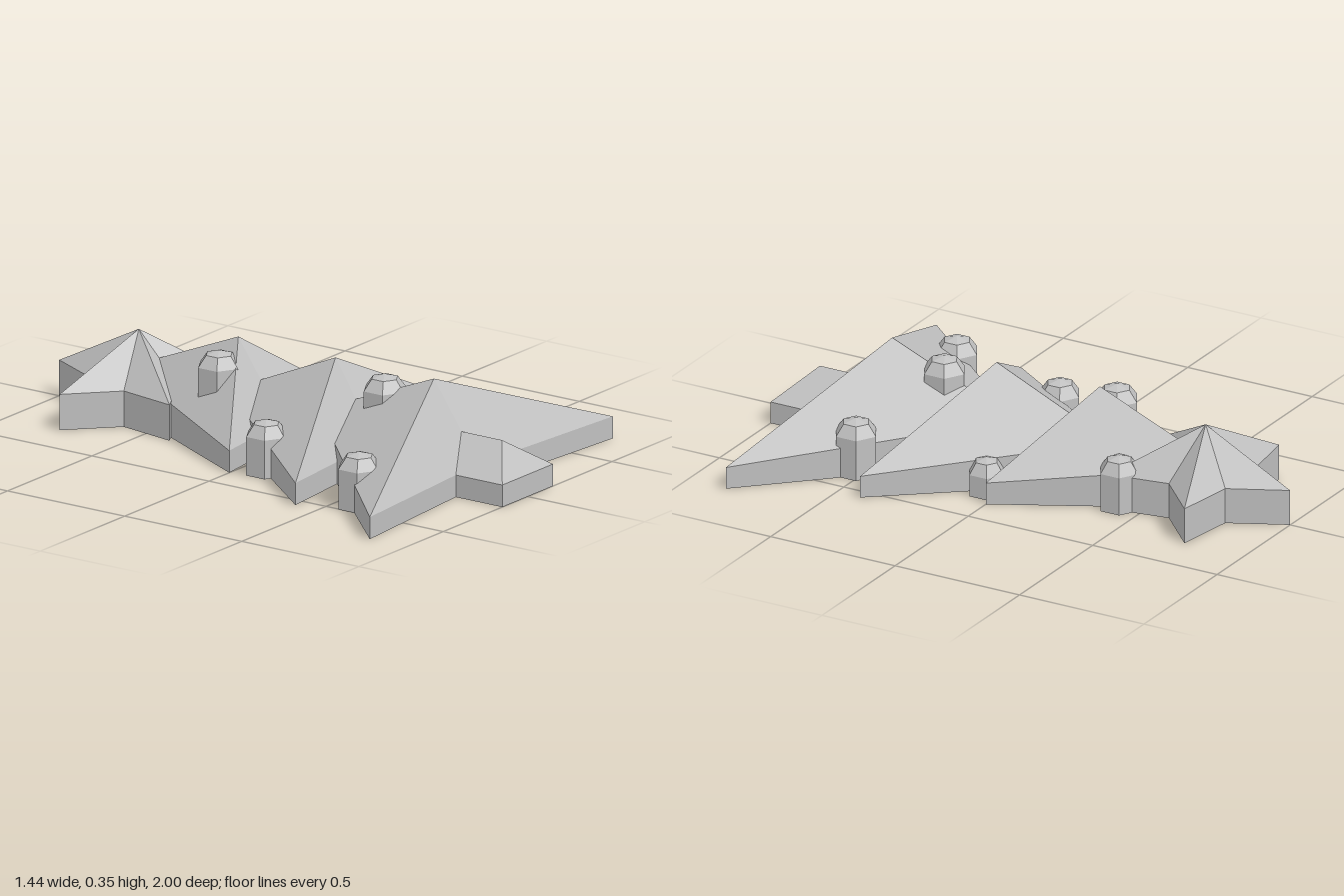
import * as THREE from 'three';

const grey = new THREE.MeshStandardMaterial({ color: 0xc0c0c0, flatShading: true });
grey.name = 'plain grey';

// Solid with a rim (counter-clockwise from above), a peaked roof, walls to the ground and a floor.
function peakedSolid(name, rim, peak) {
  const pos = [];
  const tri = (...pts) => pts.forEach((p) => pos.push(...p));
  const ground = (p) => [p[0], 0, p[2]];
  rim.forEach((a, i) => {
    const b = rim[(i + 1) % rim.length];
    tri(peak, a, b);
    tri(ground(a), ground(b), b);
    tri(ground(a), b, a);
    tri(ground(peak), ground(b), ground(a));
  });
  const geo = new THREE.BufferGeometry();
  geo.setAttribute('position', new THREE.Float32BufferAttribute(pos, 3));
  geo.computeVertexNormals();
  const mesh = new THREE.Mesh(geo, grey);
  mesh.name = name;
  return mesh;
}

// Six-sided bauble: a straight column with a faceted dome
function bauble(x, z, top, r) {
  const profile = [[0, 0], [r, 0], [r, top - 0.055], [r * 0.62, top - 0.014], [0, top]];
  const geo = new THREE.LatheGeometry(profile.map(([a, b]) => new THREE.Vector2(a, b)), 6);
  const mesh = new THREE.Mesh(geo, grey);
  mesh.name = 'bauble';
  mesh.position.set(x, 0, z);
  return mesh;
}

export function createModel() {
  const tree = new THREE.Group();
  tree.name = 'flatTree';

  // Branch tiers: half width, tip z, notch z, peak z, top z
  const tiers = [
    ['lowerTier', 0.72, 0.845, 0.79, 0.6, 0.105],
    ['middleTier', 0.55, 0.405, 0.355, 0.18, -0.28],
    ['upperTier', 0.38, 0, -0.045, -0.235, -0.72],
  ];
  for (const [name, w, tip, notch, peak, top] of tiers) {
    tree.add(peakedSolid(name,
      [[w, 0.08, tip], [0, 0.155, top], [-w, 0.08, tip], [0, 0.08, notch]],
      [0, 0.355, peak]));
  }

  // Trunk with a hipped end
  tree.add(peakedSolid('trunk',
    [[-0.15, 0.08, 1], [0.15, 0.08, 1], [0.15, 0.08, 0.62], [0, 0.185, 0.62], [-0.15, 0.08, 0.62]],
    [0, 0.185, 0.89]));

  // Five-pointed star
  const rim = [];
  for (let i = 0; i < 10; i++) {
    const a = (i * Math.PI) / 5;
    const r = i % 2 ? 0.17 : 0.34;
    rim.push([-Math.sin(a) * r, 0.13, -0.66 - Math.cos(a) * r]);
  }
  tree.add(peakedSolid('star', rim, [0, 0.305, -0.66]));

  // Baubles: x, z, top height, radius
  const baubles = [
    [0, 0.39, 0.335, 0.08], [0.365, 0.53, 0.205, 0.08], [-0.435, 0.595, 0.2, 0.08],
    [-0.305, 0.105, 0.195, 0.077], [0.29, 0.05, 0.135, 0.068],
    [-0.1, -0.245, 0.33, 0.08], [0.165, -0.41, 0.195, 0.075],
  ];
  baubles.forEach((b) => tree.add(bauble(...b)));

  return tree;
}
